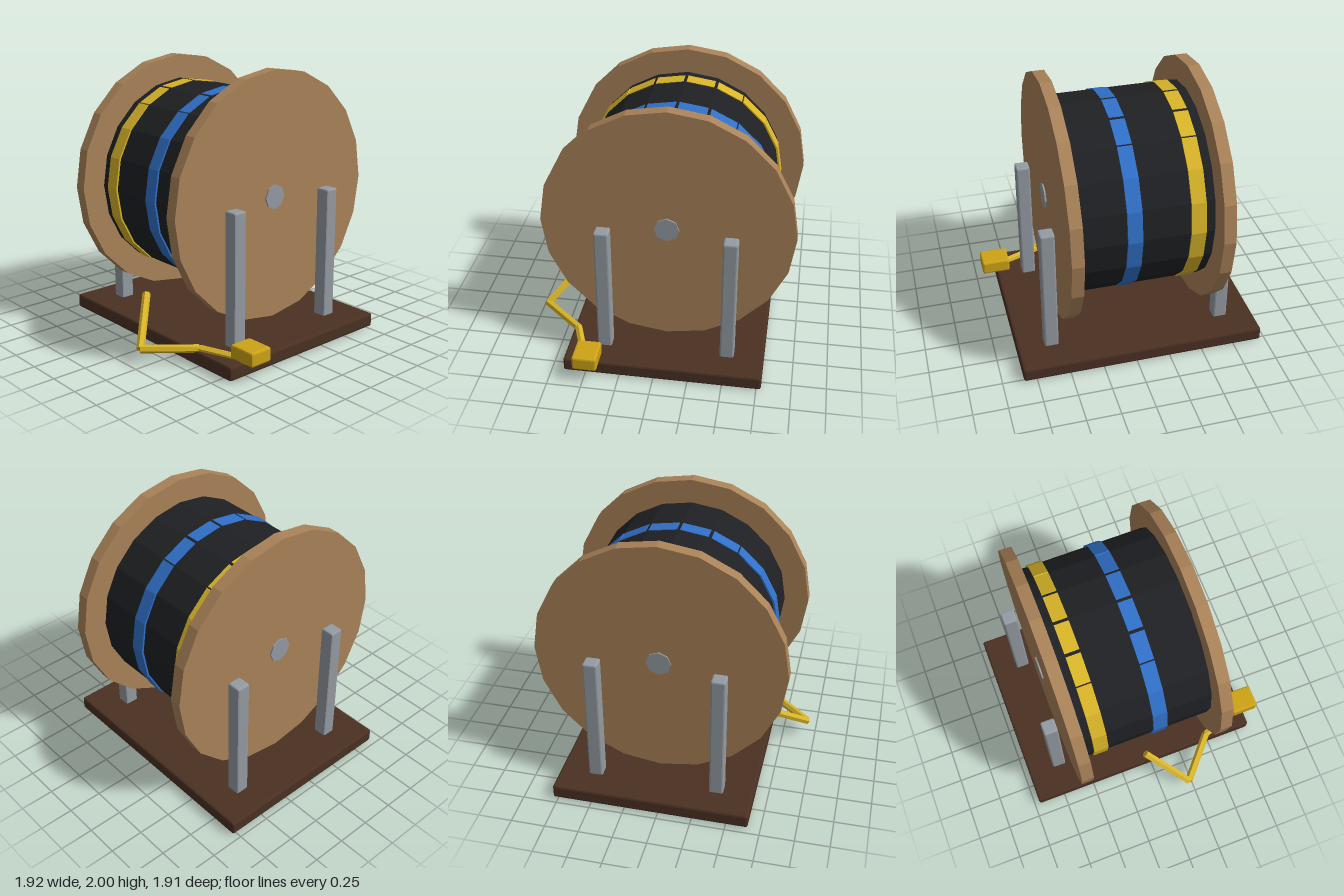
import * as THREE from 'three';
import { RoundedBoxGeometry } from 'three/addons/geometries/RoundedBoxGeometry.js';

const paint = (color) => new THREE.MeshStandardMaterial({ color, flatShading: true });
const wood = paint(0xa98258), darkWood = paint(0x4a3022), steel = paint(0x949ba3);
const black = paint(0x1e2023), yellow = paint(0xd8b428), blue = paint(0x3070c8), gold = paint(0xcda317);

// Reel axis: runs along x through this point
const CY = 1.095, CZ = -0.055, SIDES = 20;

function addMesh(parent, name, geometry, material, x, y, z) {
  const mesh = new THREE.Mesh(geometry, material);
  mesh.name = name;
  mesh.position.set(x, y, z);
  parent.add(mesh);
  return mesh;
}

// Box with small bevels, given by its extents
function bevelBox(parent, name, material, [x0, x1], [y0, y1], [z0, z1], bevel) {
  const geometry = new RoundedBoxGeometry(x1 - x0, y1 - y0, z1 - z0, 1, bevel);
  return addMesh(parent, name, geometry, material, (x0 + x1) / 2, (y0 + y1) / 2, (z0 + z1) / 2);
}

// Cylinder lying along x from x0 to x1
function disc(parent, name, material, radius, x0, x1, sides) {
  const geometry = new THREE.CylinderGeometry(radius, radius, x1 - x0, sides).rotateZ(Math.PI / 2);
  return addMesh(parent, name, geometry, material, (x0 + x1) / 2, CY, CZ);
}

// Stripe of flat plates around the drum, with gaps at the top and bottom joints
function band(parent, name, material, x) {
  const group = new THREE.Group();
  group.name = name;
  group.position.set(x, CY, CZ);
  group.scale.y = 0.986;
  for (let i = 0; i < SIDES; i++) {
    const angle = ((i + 0.5) / SIDES) * Math.PI * 2;
    const upright = Math.abs(Math.cos(angle));
    const length = upright > 0.85 ? 0.208 : 0.231;
    const plate = addMesh(group, name + 'Plate', new THREE.BoxGeometry(0.106, 0.03, length), material,
      0, Math.cos(angle) * 0.715, Math.sin(angle) * 0.715);
    plate.rotation.x = angle;
  }
  parent.add(group);
}

// Straight six-sided length of cable between two points
function cableRun(parent, a, b) {
  const dir = b.clone().sub(a);
  const mid = a.clone().add(b).multiplyScalar(0.5);
  const run = addMesh(parent, 'cableRun', new THREE.CylinderGeometry(0.03, 0.03, dir.length(), 6),
    yellow, mid.x, mid.y, mid.z);
  run.quaternion.setFromUnitVectors(new THREE.Vector3(0, 1, 0), dir.normalize());
}

export function createModel() {
  const model = new THREE.Group();
  model.name = 'cableReel';

  // Base and four posts
  bevelBox(model, 'base', darkWood, [-0.96, 0.847], [0.01, 0.115], [-0.785, 0.66], 0.016);
  for (const x of [-0.71, 0.595]) {
    for (const z of [-0.515, 0.39]) {
      bevelBox(model, 'post', steel, [x - 0.052, x + 0.052], [0, 1.095], [z - 0.052, z + 0.052], 0.012);
    }
  }

  // Reel: wound drum, flanges and axle
  const reel = new THREE.Group();
  reel.name = 'reel';
  model.add(reel);
  disc(reel, 'drum', black, 0.725, -0.55, 0.44, SIDES);
  disc(reel, 'rightFlange', wood, 0.905, -0.625, -0.537, SIDES);
  disc(reel, 'leftFlange', wood, 0.905, 0.425, 0.513, SIDES);
  disc(reel, 'axle', steel, 0.09, -0.636, 0.525, 8);
  band(reel, 'yellowBand', yellow, -0.418);
  band(reel, 'blueBand', blue, 0.033);

  // Loose cable end and its plug
  const cable = new THREE.Group();
  cable.name = 'cable';
  model.add(cable);
  const points = [[-0.06, 0.38, 0.66], [0.215, 0.12, 0.93], [0.485, 0.123, 0.625], [0.85, 0.118, 0.49]]
    .map((p) => new THREE.Vector3(...p));
  for (let i = 0; i < points.length - 1; i++) cableRun(cable, points[i], points[i + 1]);
  bevelBox(cable, 'plug', gold, [0.742, 0.956], [0.12, 0.225], [0.39, 0.568], 0.014);

  return model;
}
